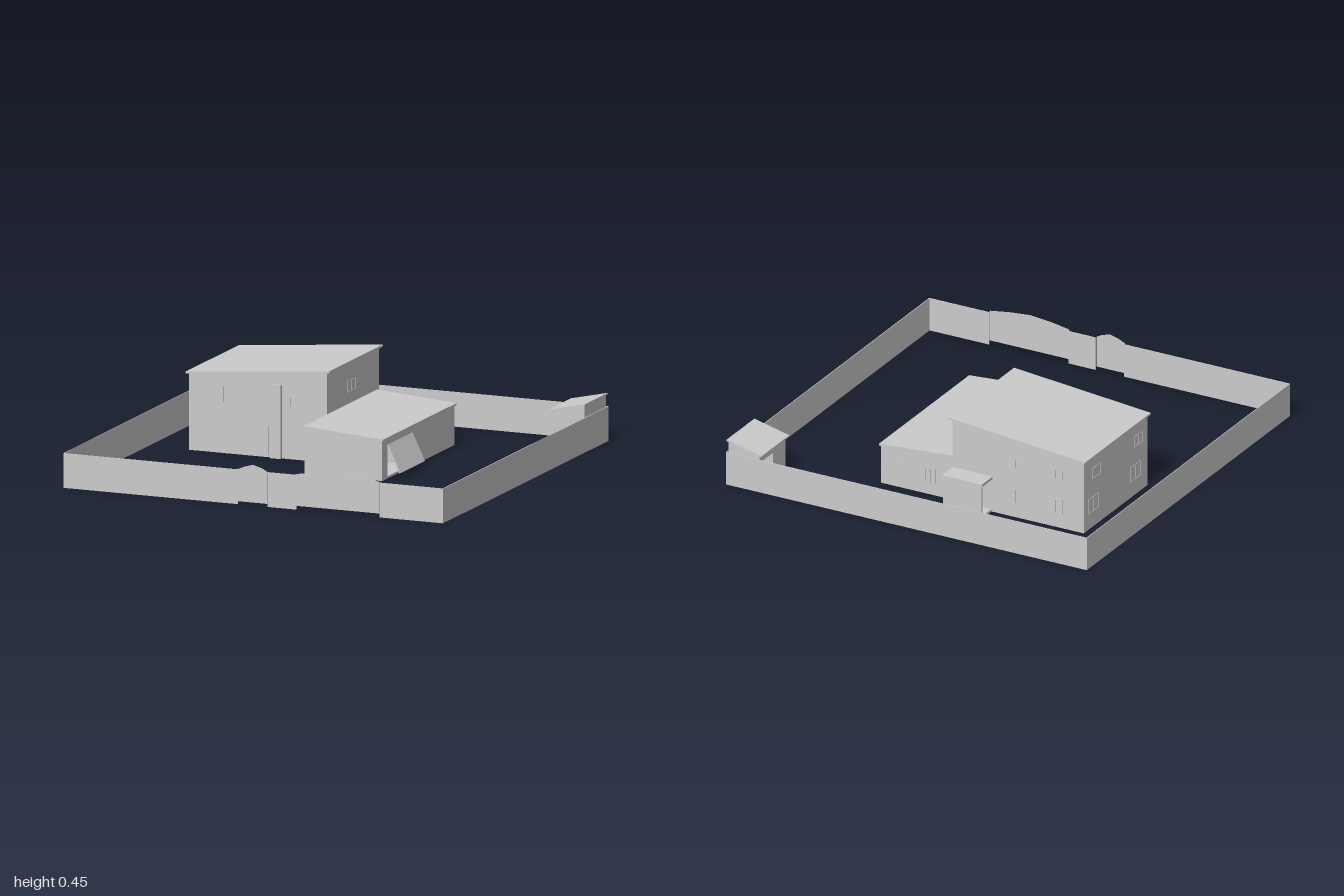
import * as THREE from 'three';

const material = new THREE.MeshStandardMaterial({ color: 0xcccccc, flatShading: true });

export function createModel() {
  const model = new THREE.Group();
  model.name = 'houseCompound';

  const add = (parent, name, geometry) => {
    const mesh = new THREE.Mesh(geometry, material);
    mesh.name = name;
    parent.add(mesh);
    return mesh;
  };

  const group = (name) => {
    const g = new THREE.Group();
    g.name = name;
    model.add(g);
    return g;
  };

  // Box given by its limits on each axis
  const box = (parent, name, x0, x1, y0, y1, z0, z1) => {
    const mesh = add(parent, name, new THREE.BoxGeometry(x1 - x0, y1 - y0, z1 - z0));
    mesh.position.set((x0 + x1) / 2, (y0 + y1) / 2, (z0 + z1) / 2);
    return mesh;
  };

  // Outline in x and y, carried from z0 to z1
  const prism = (parent, name, points, z0, z1) => {
    const shape = new THREE.Shape(points.map(([x, y]) => new THREE.Vector2(x, y)));
    const geometry = new THREE.ExtrudeGeometry(shape, { depth: z1 - z0, bevelEnabled: false });
    return add(parent, name, geometry.translate(0, 0, z0));
  };

  // Sloping slab between two top heights
  const roof = (parent, name, x0, y0, x1, y1, z0, z1, t = 0.01) =>
    prism(parent, name, [[x0, y0 - t], [x1, y1 - t], [x1, y1], [x0, y0]], z0, z1);

  // Slim window frame with a cross bar, on a wall facing x or z
  const frameWindow = (parent, axis, side, wall, centre, y, w, h) => {
    const g = new THREE.Group();
    g.name = 'window';
    const b = 0.005;
    const t = 0.003;
    for (const s of [-1, 1]) {
      add(g, 'windowJamb', new THREE.BoxGeometry(b, h, t)).position.x = s * (w - b) / 2;
      add(g, 'windowRail', new THREE.BoxGeometry(w, b, t)).position.y = s * (h - b) / 2;
    }
    add(g, 'windowMullion', new THREE.BoxGeometry(b, h, t));
    if (axis === 'x') {
      g.rotation.y = Math.PI / 2;
      g.position.set(wall + side * 0.001, y, centre);
    } else {
      g.position.set(centre, y, wall + side * 0.001);
    }
    parent.add(g);
  };

  // Perimeter wall
  const fence = group('perimeterWall');
  const H = 0.17;
  const T = 0.004;
  for (const s of [-1, 1]) {
    const x = s * (0.99 - T / 2);
    box(fence, 'sideWall', x - T / 2, x + T / 2, 0, H, -1, 0.994);
  }
  box(fence, 'backWall', -0.99, 0.99, 0, H, -1, -1 + T);
  for (const [a, b] of [[-0.99, -0.08], [0.075, 0.225], [0.66, 0.99]]) {
    box(fence, 'frontWall', a, b, 0, H, 0.99, 0.994);
  }

  // Gates with raised tops and a gap beneath
  prism(fence, 'smallGate', [[-0.08, 0.016], [0.075, 0.016], [0.075, 0.172], [0.045, 0.188],
    [0, 0.2], [-0.045, 0.188], [-0.08, 0.172]], 0.996, 1);
  prism(fence, 'largeGate', [[0.225, 0.02], [0.66, 0.02], [0.66, 0.175], [0.55, 0.192],
    [0.44, 0.202], [0.33, 0.192], [0.225, 0.175]], 0.996, 1);

  // Main house
  const house = group('mainHouse');
  prism(house, 'houseWalls', [[-0.775, 0], [-0.055, 0], [-0.055, 0.439], [-0.775, 0.374]], -0.645, -0.02);
  roof(house, 'houseRoof', -0.79, 0.383, -0.04, 0.45, -0.66, -0.015);
  box(house, 'entrancePillar', -0.345, -0.29, 0, 0.36, -0.03, -0.003);
  box(house, 'frontDoor', -0.51, -0.45, 0.01, 0.15, -0.022, -0.018);
  box(house, 'frontDoor', -0.42, -0.36, 0.01, 0.15, -0.022, -0.018);
  frameWindow(house, 'z', 1, -0.02, -0.63, 0.1, 0.15, 0.07);
  frameWindow(house, 'z', 1, -0.02, -0.62, 0.29, 0.05, 0.08);
  frameWindow(house, 'z', 1, -0.02, -0.22, 0.28, 0.06, 0.05);
  frameWindow(house, 'x', 1, -0.055, -0.32, 0.32, 0.1, 0.06);
  for (const z of [-0.55, -0.14]) {
    frameWindow(house, 'x', -1, -0.775, z, 0.12, 0.1, 0.08);
    frameWindow(house, 'x', -1, -0.775, z + 0.03, 0.28, 0.08, 0.06);
  }
  for (const x of [-0.62, -0.4]) {
    frameWindow(house, 'z', -1, -0.645, x, 0.11, 0.08, 0.08);
    frameWindow(house, 'z', -1, -0.645, x, 0.28, 0.08, 0.05);
  }

  // Back porch, open on one side
  const porch = group('backPorch');
  box(porch, 'porchRoof', -0.275, -0.055, 0.172, 0.186, -0.75, -0.645);
  box(porch, 'porchBackWall', -0.27, -0.06, 0, 0.172, -0.745, -0.735);
  box(porch, 'porchSideWall', -0.07, -0.06, 0, 0.172, -0.735, -0.645);
  box(porch, 'porchFloor', -0.27, -0.06, 0, 0.012, -0.735, -0.645);

  // Garage wing with a doorway in its side
  const garage = group('garageWing');
  const section = [[-0.055, 0], [0.35, 0], [0.35, 0.197], [-0.055, 0.226]];
  prism(garage, 'garageWalls', section, -0.62, -0.1);
  prism(garage, 'garageWalls', section, 0.185, 0.25);
  prism(garage, 'garageBay', [[-0.055, 0], [0.35, 0], [0.35, 0.01], [0.02, 0.01], [0.02, 0.165],
    [0.35, 0.165], [0.35, 0.197], [-0.055, 0.226]], -0.1, 0.185);
  roof(garage, 'garageRoof', -0.055, 0.236, 0.36, 0.206, -0.02, 0.26);
  roof(garage, 'garageRoof', -0.055, 0.236, 0.36, 0.206, -0.625, -0.02);
  // Door swung outward at its foot
  prism(garage, 'garageDoor', [[0.35, 0.165], [0.414, 0.03], [0.42, 0.033], [0.356, 0.168]], -0.105, 0.19);
  for (const x of [0.08, 0.23]) frameWindow(garage, 'z', -1, -0.62, x, 0.1, 0.06, 0.08);

  // Corner shed
  const shed = group('cornerShed');
  roof(shed, 'shedRoof', 0.795, 0.192, 0.987, 0.236, -0.998, -0.725, 0.008);
  const shedEnd = [[0.81, 0], [0.98, 0], [0.98, 0.226], [0.81, 0.187]];
  prism(shed, 'shedBackWall', shedEnd, -0.99, -0.98);
  prism(shed, 'shedFrontWall', shedEnd, -0.745, -0.735);
  box(shed, 'shedOuterWall', 0.97, 0.98, 0, 0.224, -0.98, -0.745);
  box(shed, 'shedInnerWall', 0.81, 0.82, 0, 0.187, -0.86, -0.745);
  box(shed, 'shedInnerWall', 0.81, 0.82, 0, 0.187, -0.98, -0.95);
  box(shed, 'shedLintel', 0.81, 0.82, 0.15, 0.187, -0.95, -0.86);

  return model;
}
